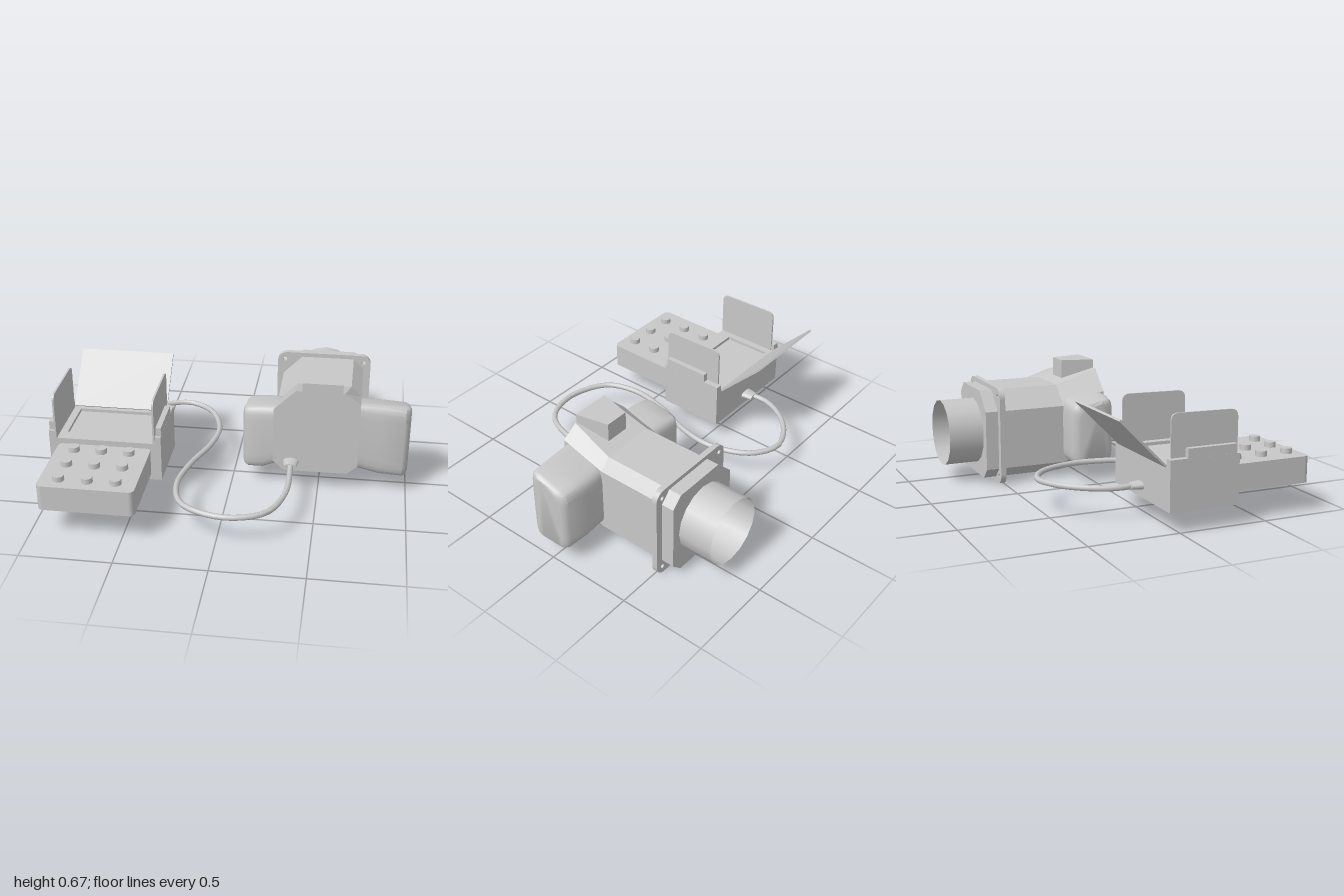
import * as THREE from 'three';
import { toCreasedNormals } from 'three/addons/utils/BufferGeometryUtils.js';

const grey = new THREE.MeshStandardMaterial({ color: 0xc8c8c8 });
grey.name = 'light grey';
const greyOpen = new THREE.MeshStandardMaterial({ color: 0xc8c8c8, side: THREE.DoubleSide });
greyOpen.name = 'light grey';

function add(parent, name, geometry, x = 0, y = 0, z = 0, material = grey) {
  const mesh = new THREE.Mesh(geometry, material);
  mesh.name = name;
  mesh.position.set(x, y, z);
  parent.add(mesh);
  return mesh;
}

// Box given by its two corners
function block(parent, name, x0, x1, y0, y1, z0, z1) {
  return add(parent, name, new THREE.BoxGeometry(x1 - x0, y1 - y0, z1 - z0),
    (x0 + x1) / 2, (y0 + y1) / 2, (z0 + z1) / 2);
}

// Skin over convex cross-sections, with both ends capped
function loft(sections, crease = 0.6) {
  const n = sections[0].length, last = (sections.length - 1) * n;
  const index = [];
  for (let s = 0; s < sections.length - 1; s++) {
    for (let i = 0; i < n; i++) {
      const a = s * n + i, b = s * n + (i + 1) % n;
      index.push(a, b, b + n, a, b + n, a + n);
    }
  }
  for (let i = 1; i < n - 1; i++) index.push(0, i + 1, i, last, last + i, last + i + 1);
  const geo = new THREE.BufferGeometry();
  geo.setAttribute('position', new THREE.Float32BufferAttribute(sections.flat(2), 3));
  geo.setIndex(index);
  return toCreasedNormals(geo, crease);
}

function roundedRect(w, h, r) {
  const s = new THREE.Shape();
  const x = w / 2, y = h / 2;
  s.absarc(x - r, y - r, r, 0, Math.PI / 2);
  s.absarc(-x + r, y - r, r, Math.PI / 2, Math.PI);
  s.absarc(-x + r, -y + r, r, Math.PI, Math.PI * 1.5);
  s.absarc(x - r, -y + r, r, Math.PI * 1.5, Math.PI * 2);
  s.closePath();
  return s;
}

function extrude(shape, depth) {
  return new THREE.ExtrudeGeometry(shape, { depth, bevelEnabled: false, curveSegments: 5 })
    .translate(0, 0, -depth / 2);
}

// Rounded section of a grip: front edge and back edge have their own heights
function gripSection(x, zBack, zFront, botF, topF, botB, topB) {
  const pts = [];
  const soft = v => Math.sign(v) * Math.abs(v) ** 0.3;
  for (let i = 0; i < 24; i++) {
    const t = (i + 0.5) / 24 * Math.PI * 2;
    const u = (soft(Math.cos(t)) + 1) / 2, v = (soft(Math.sin(t)) + 1) / 2;
    const bot = THREE.MathUtils.lerp(botB, botF, v), top = THREE.MathUtils.lerp(topB, topF, v);
    pts.push([x, THREE.MathUtils.lerp(bot, top, u), THREE.MathUtils.lerp(zBack, zFront, v)]);
  }
  return pts;
}

function buildCamera() {
  const g = new THREE.Group();
  g.name = 'camera';

  // Faceted housing, flaring upward toward the front
  const back = [[0.3, 0.03], [0.66, 0.03], [0.72, 0.09], [0.72, 0.48],
    [0.66, 0.54], [0.35, 0.54], [0.24, 0.43], [0.24, 0.09]];
  const front = [[0.3, 0.115], [0.66, 0.115], [0.72, 0.17], [0.72, 0.56],
    [0.63, 0.62], [0.36, 0.62], [0.24, 0.5], [0.24, 0.17]];
  const at = (pts, z) => pts.map(([x, y]) => [x, y, z]);
  add(g, 'housing', loft([at(back, -0.6), at(back, -0.12), at(front, 0.14)], 0.1));

  // Tapered viewfinder hump
  const hump = (x0, x1, y0, z) => at([[x0, y0], [x1, y0], [x1, 0.67], [x0, 0.67]], z);
  add(g, 'viewfinder', loft([hump(0.44, 0.58, 0.54, -0.05), hump(0.395, 0.62, 0.58, 0.14)], 0.1));

  // Hand grips
  add(g, 'leftGrip', loft([
    gripSection(0.7, -0.12, 0.138, 0.15, 0.56, 0.1, 0.48),
    gripSection(0.76, -0.125, 0.136, 0.13, 0.56, 0.11, 0.48),
    gripSection(0.84, -0.125, 0.136, 0.11, 0.557, 0.1, 0.48),
    gripSection(0.97, -0.115, 0.13, 0.1, 0.553, 0.1, 0.475),
    gripSection(0.99, -0.1, 0.115, 0.105, 0.545, 0.105, 0.465),
    gripSection(1.0, -0.08, 0.09, 0.12, 0.53, 0.12, 0.45)]));
  add(g, 'rightGrip', loft([
    gripSection(0.065, -0.08, 0.09, 0.125, 0.47, 0.125, 0.42),
    gripSection(0.075, -0.105, 0.115, 0.11, 0.487, 0.11, 0.445),
    gripSection(0.095, -0.12, 0.128, 0.1, 0.495, 0.1, 0.46),
    gripSection(0.18, -0.125, 0.136, 0.105, 0.505, 0.1, 0.47),
    gripSection(0.27, -0.12, 0.138, 0.15, 0.51, 0.1, 0.47)]));

  // Mounting flange with four screw holes
  const flange = roundedRect(0.56, 0.565, 0.06);
  for (const sx of [-1, 1]) for (const sy of [-1, 1]) {
    const hole = new THREE.Path();
    hole.absarc(sx * 0.237, sy * 0.237, 0.013, 0, Math.PI * 2, true);
    flange.holes.push(hole);
  }
  add(g, 'flange', extrude(flange, 0.032), 0.482, 0.2825, -0.51);

  // Open lens barrel
  const barrel = new THREE.CylinderGeometry(0.193, 0.193, 0.2, 16, 1, true).rotateX(Math.PI / 2);
  add(g, 'lensBarrel', barrel, 0.48, 0.283, -0.7, greyOpen);
  return g;
}

function buildControlBox() {
  const g = new THREE.Group();
  g.name = 'controlBox';
  const cx = -0.683;

  // Case with raised side rails, latches and shade wings
  block(g, 'case', -0.97, -0.395, 0.11, 0.32, -0.06, 0.335);
  const wing = new THREE.Shape();
  wing.moveTo(-0.34, 0.32);
  wing.lineTo(-0.34, 0.56);
  wing.quadraticCurveTo(-0.34, 0.6, -0.3, 0.602);
  wing.lineTo(0, 0.607);
  wing.quadraticCurveTo(0.04, 0.607, 0.04, 0.57);
  wing.lineTo(0.04, 0.32);
  wing.closePath();
  for (const [side, name] of [[-1, 'right'], [1, 'left']]) {
    const bar = (part, x, w, y0, y1, z0, z1) =>
      block(g, name + part, cx + side * x - w / 2, cx + side * x + w / 2, y0, y1, z0, z1);
    bar('Rail', 0.2975, 0.04, 0.11, 0.38, -0.06, 0.335);
    bar('Latch', 0.302, 0.03, 0.23, 0.43, 0.04, 0.318);
    add(g, name + 'ShadeWing', extrude(wing, 0.01).rotateY(Math.PI / 2), cx + side * 0.278);
  }

  // Frame around the recessed screen
  const frame = roundedRect(0.57, 0.395, 0.001);
  const opening = new THREE.Path();
  opening.moveTo(-0.232, -0.117);
  opening.lineTo(-0.232, 0.168);
  opening.lineTo(0.228, 0.168);
  opening.lineTo(0.228, -0.117);
  opening.closePath();
  frame.holes.push(opening);
  add(g, 'screenFrame', extrude(frame, 0.02).rotateX(-Math.PI / 2), cx, 0.328, 0.1375);

  // Tilted rear shade
  add(g, 'rearShade', new THREE.BoxGeometry(0.55, 0.012, 0.36), cx, 0.467, -0.187)
    .rotation.x = Math.PI / 4;

  // Keypad with nine buttons
  add(g, 'keypad', extrude(roundedRect(0.525, 0.468, 0.03), 0.145).rotateX(-Math.PI / 2),
    cx, 0.2325, 0.566);
  for (let i = 0; i < 9; i++) {
    add(g, 'button', new THREE.CylinderGeometry(0.03, 0.032, 0.035, 10),
      -0.84 + (i % 3) * 0.155, 0.317, 0.407 + Math.floor(i / 3) * 0.157);
  }
  return g;
}

export function createModel() {
  const model = new THREE.Group();
  model.name = 'cameraWithControlBox';
  model.add(buildCamera(), buildControlBox());

  // Cable looping from the back of the box to the front of the camera
  const path = [[-0.67, -0.06], [-0.68, -0.2], [-0.62, -0.34], [-0.5, -0.46], [-0.35, -0.51],
    [-0.2, -0.42], [-0.115, -0.2], [-0.135, 0], [-0.22, 0.25], [-0.255, 0.48], [-0.19, 0.67],
    [0.04, 0.765], [0.25, 0.7], [0.34, 0.5], [0.345, 0.14]];
  const curve = new THREE.CatmullRomCurve3(path.map(([x, z]) => new THREE.Vector3(x, 0.174, z)));
  add(model, 'cable', new THREE.TubeGeometry(curve, 60, 0.016, 8));

  // Flattened plugs at both ends
  const plug = new THREE.CylinderGeometry(0.036, 0.047, 0.07, 12).rotateX(Math.PI / 2).scale(1, 0.5, 1);
  add(model, 'cameraPlug', plug, 0.343, 0.174, 0.17);
  add(model, 'boxPlug', plug, -0.67, 0.174, -0.09).rotation.y = Math.PI;
  return model;
}
